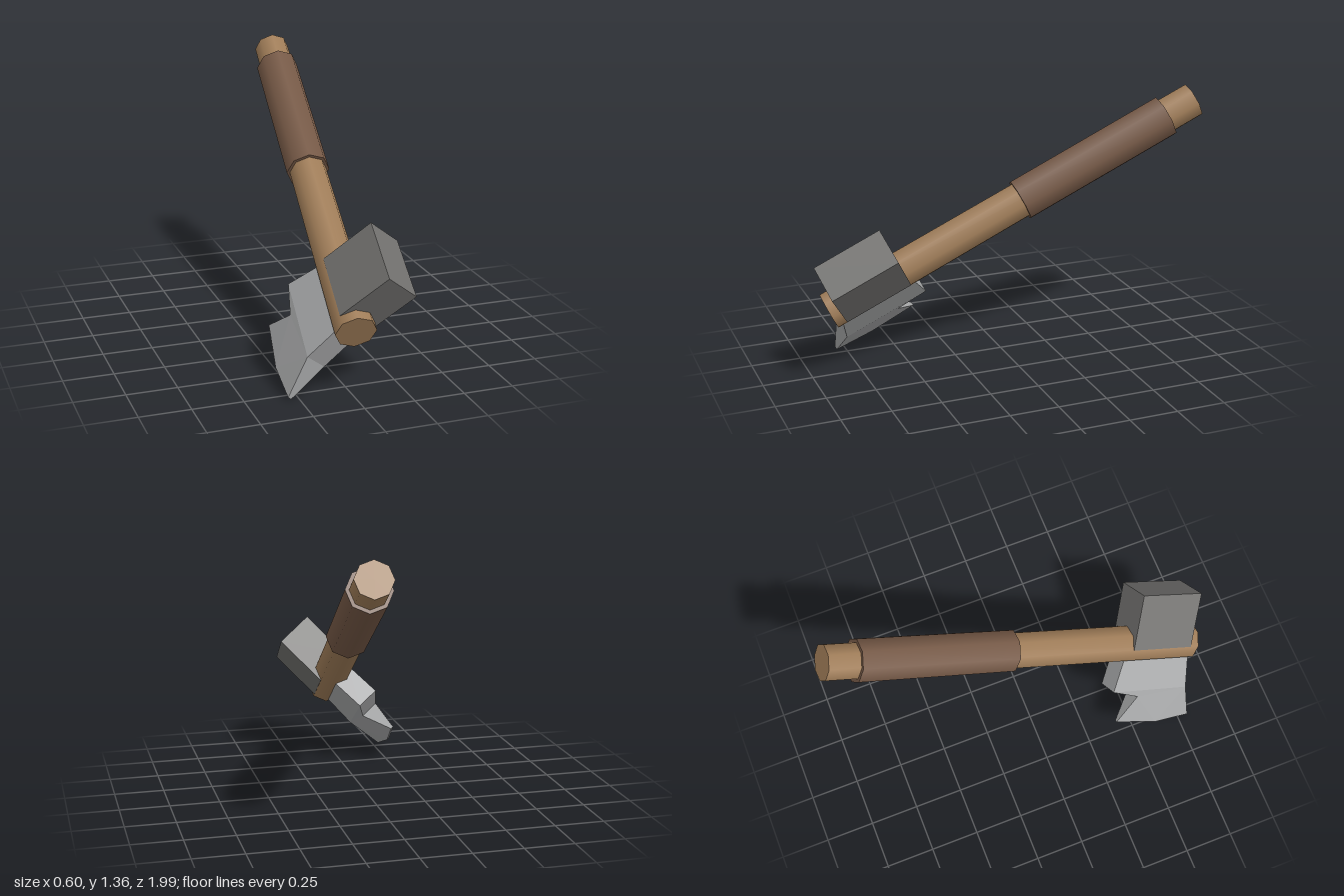
import * as THREE from 'three';

const mat = (name, color) => {
  const m = new THREE.MeshStandardMaterial({ color });
  m.name = name;
  return m;
};

export function createModel() {
  const wood = mat('wood', 0xa07d58);
  const leather = mat('leather', 0x765946);
  const iron = mat('dark iron', 0x71706e);
  const steel = mat('steel', 0xa6a7a8);

  // Built upright: +y along the handle from its head end, +x towards the blade
  const axe = new THREE.Group();
  axe.name = 'axe';
  const add = (name, geometry, material, x = 0, y = 0) => {
    const mesh = new THREE.Mesh(geometry, material);
    mesh.name = name;
    mesh.position.set(x, y, 0);
    axe.add(mesh);
  };

  // Tapered eight-sided handle and its grip wrap
  add('handle', new THREE.CylinderGeometry(0.091, 0.099, 2.09, 8), wood, 0, 1.045);
  add('grip', new THREE.CylinderGeometry(0.11, 0.11, 0.84, 8), leather, 0, 1.507);

  // Hammer block on the back of the head
  add('hammerBlock', new THREE.BoxGeometry(0.3, 0.36, 0.2), iron, -0.15, 0.23);

  // Plate cut from an outline, narrowing in thickness past x = start
  const start = 0.25, edge = 0.45, half = 0.06;
  const plate = (points) => {
    const shape = new THREE.Shape(points.map(([x, y]) => new THREE.Vector2(x, y)));
    const g = new THREE.ExtrudeGeometry(shape, { depth: 2, bevelEnabled: false });
    g.translate(0, 0, -1);
    const p = g.attributes.position;
    for (let i = 0; i < p.count; i++) {
      const t = THREE.MathUtils.clamp((p.getX(i) - start) / (edge - start), 0, 1);
      p.setZ(i, p.getZ(i) * THREE.MathUtils.lerp(half, 0.008, t));
    }
    g.computeVertexNormals();
    return g;
  };

  // Blade root, then the notched cutting edge
  add('bladeRoot', plate([[0, 0.03], [0.05, 0.03], [0.25, 0], [0.25, 0.46], [0.05, 0.43], [0, 0.43]]), steel);
  add('bladeEdge', plate([[0.25, 0], [0.44, -0.088], [0.47, 0.114], [0.45, 0.368], [0.29, 0.295], [0.25, 0.46]]), steel);

  // Lean the axe into its resting pose
  const along = new THREE.Vector3(0.1005, 0.4497, -0.8875).normalize();
  const side = new THREE.Vector3(0.77, -0.597, -0.224);
  const blade = along.clone().cross(side).normalize();
  side.crossVectors(blade, along);
  axe.quaternion.setFromRotationMatrix(new THREE.Matrix4().makeBasis(blade, along, side));
  axe.position.set(-0.008, 0.338, 0.9);

  const model = new THREE.Group();
  model.name = 'leaningAxe';
  model.add(axe);
  return model;
}
